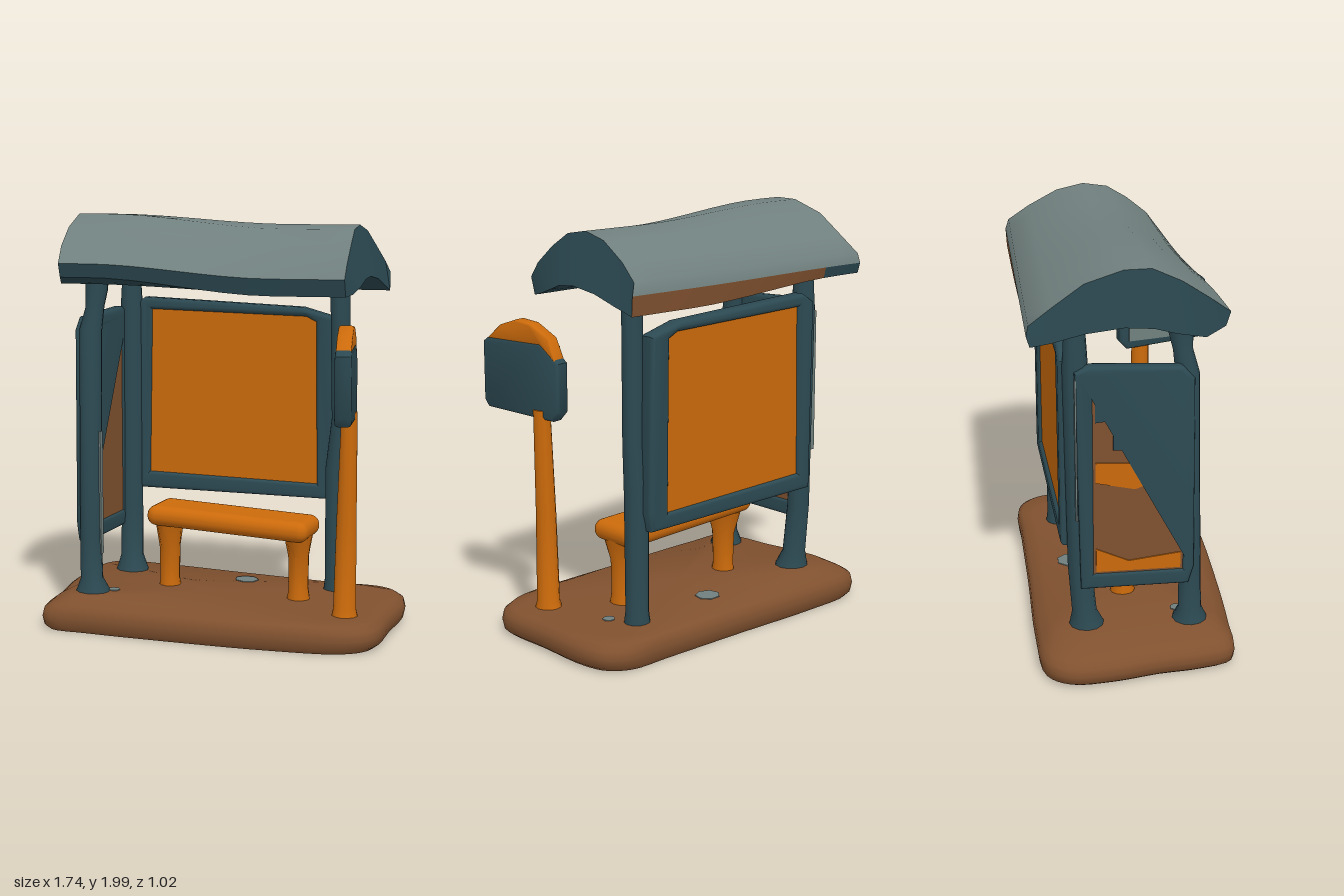
import * as THREE from 'three';
import { toCreasedNormals } from 'three/addons/utils/BufferGeometryUtils.js';
import { RoundedBoxGeometry } from 'three/addons/geometries/RoundedBoxGeometry.js';

const mat = (name, color) => new THREE.MeshStandardMaterial({ name, color });
const V = (x, y, z) => new THREE.Vector3(x, y, z);
const lerp = THREE.MathUtils.lerp;

// Surface through rows of points; faces point along (next row) x (next column)
function sheet(rows, crease = 0.8) {
  const pos = [];
  const tri = (a, b, c) => {
    const area = V(0, 0, 0).crossVectors(b.clone().sub(a), c.clone().sub(a)).length();
    if (area > 1e-8) for (const p of [a, b, c]) pos.push(p.x, p.y, p.z);
  };
  for (let i = 0; i < rows.length - 1; i++) {
    for (let j = 0; j < rows[i].length - 1; j++) {
      const a = rows[i][j], b = rows[i + 1][j], c = rows[i + 1][j + 1], d = rows[i][j + 1];
      tri(a, b, c);
      tri(a, c, d);
    }
  }
  const g = new THREE.BufferGeometry();
  g.setAttribute('position', new THREE.Float32BufferAttribute(pos, 3));
  return toCreasedNormals(g, crease);
}

// Upright limb through elliptical stations [x, y, z, rx, rz]
function limb(stations, sides = 12) {
  const first = stations[0], last = stations[stations.length - 1];
  const all = [[...first.slice(0, 3), 0, 0], ...stations, [...last.slice(0, 3), 0, 0]];
  return sheet(all.map(([x, y, z, rx, rz = rx]) => Array.from({ length: sides + 1 }, (_, k) => {
    const a = (k % sides) / sides * Math.PI * 2;
    return V(x + Math.cos(a) * rx, y, z + Math.sin(a) * rz);
  })));
}

// Flat polygon given as [u, y] corners, extruded with an optional hole
function slab(corners, depth, hole, bevel = 0) {
  const toVec = (list) => list.map(([u, y]) => new THREE.Vector2(u, y));
  const shape = new THREE.Shape(toVec(corners));
  if (hole) shape.holes.push(new THREE.Path(toVec(hole)));
  const g = new THREE.ExtrudeGeometry(shape, {
    depth: depth - 2 * bevel, bevelEnabled: bevel > 0, bevelThickness: bevel,
    bevelSize: bevel, bevelOffset: -bevel, bevelSegments: 3,
  });
  g.translate(0, 0, bevel - depth / 2);
  return toCreasedNormals(g, 0.8);
}

const rect = (u0, y0, u1, y1) => [[u0, y0], [u1, y0], [u1, y1], [u0, y1]];

export function createModel() {
  const teal = mat('dark teal', 0x2c4952);
  const grey = mat('roof grey', 0x70807e);
  const orange = mat('orange', 0xcb6a0b);
  const brown = mat('brown', 0x80512f);
  const dark = mat('dark underside', 0x5f504a);

  const model = new THREE.Group();
  model.name = 'shelter';
  const add = (name, geometry, material, parent = model) => {
    const m = new THREE.Mesh(geometry, material);
    m.name = name;
    parent.add(m);
    return m;
  };
  const group = (name) => {
    const g = new THREE.Group();
    g.name = name;
    model.add(g);
    return g;
  };

  // Ground slab: uneven outline, bevelled edge, top falling slightly to +x
  const outline = new THREE.CatmullRomCurve3([
    [0.86, 0], [0.85, 0.3], [0.74, 0.4], [0.4, 0.45], [-0.1, 0.46], [-0.55, 0.45], [-0.75, 0.43],
    [-0.8, 0.28], [-0.82, 0.08], [-0.86, -0.15], [-0.86, -0.35], [-0.78, -0.45], [-0.5, -0.48],
    [0, -0.48], [0.5, -0.485], [0.72, -0.485], [0.82, -0.42], [0.86, -0.3],
  ].map(([x, z]) => V(x, 0, z)), true).getPoints(72);
  const topAt = (x) => 0.16 - 0.03 * x;
  const ring = (s, y) => outline.map((p) => V(p.x * s, y ?? topAt(p.x * s), p.z * s));
  add('groundSlab', sheet([ring(0.96, 0.01), ring(0.99, 0.03), ring(1, 0.07), ring(0.99, 0.108),
    ring(0.95, 0.132), ring(0.84), ring(0)], 1), brown);
  add('slabUnderside', sheet([ring(0, 0.01), ring(0.96, 0.01)]), dark);
  // Pale scuffs on the slab
  for (const [x, z, r] of [[0.05, -0.27, 0.06], [0.585, -0.17, 0.03], [-0.48, 0.2, 0.03]]) {
    const scuff = add('scuff', new THREE.CylinderGeometry(r, r, 0.008, 7), grey);
    scuff.position.set(x, topAt(x), z);
    scuff.rotation.z = -0.03;
  }

  // Posts with flared feet
  add('frontLeftPost', limb([[-0.57, 0.13, 0.25, 0.095], [-0.57, 0.185, 0.25, 0.08], [-0.575, 0.24, 0.25, 0.055],
    [-0.58, 0.45, 0.245, 0.052], [-0.58, 1.45, 0.22, 0.055], [-0.565, 1.56, 0.2, 0.045],
    [-0.56, 1.64, 0.19, 0.055], [-0.56, 1.74, 0.18, 0.055]]), teal);
  add('paleStrip', new THREE.BoxGeometry(0.008, 0.6, 0.03), grey).position.set(-0.527, 0.66, 0.238);
  add('backLeftPost', limb([[-0.56, 0.13, -0.24, 0.095], [-0.56, 0.185, -0.24, 0.08], [-0.565, 0.25, -0.25, 0.058],
    [-0.57, 0.5, -0.27, 0.055], [-0.57, 1.5, -0.28, 0.058], [-0.57, 1.72, -0.28, 0.045]]), teal);
  add('backRightPost', limb([[0.51, 0.11, -0.285, 0.066], [0.51, 0.2, -0.285, 0.055],
    [0.51, 0.75, -0.285, 0.058], [0.53, 1, -0.285, 0.048], [0.52, 1.72, -0.275, 0.05]]), teal);

  // Back wall: slightly turned frame around an orange board
  const back = group('backWall');
  back.position.z = -0.328;
  back.rotation.y = 0.03;
  const backHole = [[-0.475, 0.685], [0.4, 0.665], [0.39, 1.47], [0.34, 1.495], [-0.46, 1.515]];
  add('backFrame', slab([[-0.56, 0.6], [0.5, 0.59], [0.52, 0.68], [0.5, 1.49], [0.32, 1.54], [-0.5, 1.575],
    [-0.57, 1.53]], 0.09, backHole, 0.02), teal, back);
  add('backBoard', slab([[-0.5, 0.655], [0.42, 0.64], [0.41, 1.48], [0.34, 1.51], [-0.48, 1.535]], 0.055), orange, back);

  // Side wall on -x: u runs toward the front, depth toward -x
  const side = group('sideWall');
  side.position.x = -0.622;
  side.rotation.y = -Math.PI / 2;
  add('sideFrame', slab([[-0.27, 0.41], [0.23, 0.41], [0.255, 0.5], [0.245, 1.45], [0.19, 1.51], [-0.22, 1.53],
    [-0.29, 1.5]], 0.065, rect(-0.21, 0.49, 0.2, 1.44), 0.018), teal, side);
  add('sideBoard', slab(rect(-0.22, 0.48, 0.21, 1.45), 0.045), brown, side);
  // Worn paint on the side board
  const patches = [
    ['paleBand', grey, rect(-0.19, 1.37, 0.18, 1.43)],
    ['tealBand', teal, [[-0.2, 1.26], [0.19, 1.3], [0.19, 1.37], [-0.2, 1.37]]],
    ['tealPatch', teal, [[-0.12, 1.12], [0.12, 1.12], [0.17, 1.22], [-0.12, 1.19]]],
    ['orangePatch', orange, [[-0.2, 0.96], [-0.02, 0.92], [0.19, 1.0], [0.19, 1.08], [0, 1.05], [-0.2, 1.06]]],
    ['lowerOrangePatch', orange, [[-0.2, 0.5], [0.19, 0.5], [0.19, 0.58], [-0.05, 0.55], [-0.2, 0.62]]],
    ['innerOrangePatch', orange, [[0.06, 0.5], [0.19, 0.5], [0.19, 0.58]], -0.024],
  ];
  for (const [name, m, shape, z = 0.024] of patches) add(name, slab(shape, 0.008), m, side).position.z = z;
  add('paleEdge', new THREE.BoxGeometry(0.008, 0.7, 0.034), grey, side).position.set(-0.287, 1.12, 0.014);

  // Bench: soft seat on two legs that widen upward
  const bench = group('bench');
  const seat = add('seat', new RoundedBoxGeometry(0.82, 0.1, 0.28, 4, 0.048), orange, bench);
  seat.position.set(0.055, 0.512, -0.035);
  seat.rotation.z = -0.05;
  for (const [name, x, top] of [['leftLeg', 0.39, 0.49], ['rightLeg', -0.275, 0.52]]) {
    add(name, limb([[x, 0.12, -0.035, 0.06, 0.068], [x, 0.2, -0.035, 0.048, 0.055],
      [x, 0.36, -0.035, 0.05, 0.062], [x, top - 0.06, -0.035, 0.06, 0.1],
      [x, top, -0.035, 0.07, 0.12]]), orange, bench);
  }

  // Stop sign post with a turned plate
  add('signPole', limb([[0.675, 0.11, 0.17, 0.068, 0.078], [0.675, 0.17, 0.17, 0.055],
    [0.68, 0.6, 0.17, 0.048], [0.69, 1.1, 0.175, 0.038, 0.045]]), orange);
  const sign = group('sign');
  sign.position.set(0.7, 0, 0.28);
  sign.rotation.y = -1.38;
  add('signPlate', slab([[-0.23, 1.1], [-0.19, 1.055], [0.21, 1.075], [0.235, 1.11], [0.235, 1.39],
    [0.2, 1.415], [-0.12, 1.415], [-0.23, 1.33]], 0.075, null, 0.015), teal, sign);
  add('signCap', slab([[-0.215, 1.33], [-0.12, 1.4], [0.21, 1.405], [0.13, 1.475], [0.03, 1.51],
    [-0.06, 1.5], [-0.17, 1.44]], 0.07, null, 0.012), orange, sign);
  add('signUpperPanel', slab(rect(-0.18, 1.25, 0.18, 1.4), 0.008), brown, sign).position.z = 0.036;
  add('signLowerPanel', slab(rect(-0.18, 1.1, 0.18, 1.25), 0.008), grey, sign).position.z = 0.036;

  // Roof: [z, y] cross-sections blended between the two ends, running from front to back
  const topL = [[0.39, 1.77], [0.29, 1.85], [0.17, 1.935], [0.04, 1.997], [-0.08, 1.995], [-0.25, 1.94], [-0.39, 1.84], [-0.49, 1.765], [-0.5, 1.72]];
  const topR = [[0.25, 1.71], [0.2, 1.78], [0.1, 1.865], [0, 1.93], [-0.12, 1.95], [-0.25, 1.92], [-0.39, 1.84], [-0.49, 1.765], [-0.505, 1.71]];
  const lowL = [[0.37, 1.705], [0.28, 1.67], [0.15, 1.7], [0.05, 1.73], [-0.08, 1.74], [-0.25, 1.72], [-0.39, 1.685], [-0.45, 1.675], [-0.485, 1.67]];
  const lowR = [[0.225, 1.63], [0.17, 1.64], [0.08, 1.67], [0, 1.7], [-0.1, 1.71], [-0.25, 1.69], [-0.39, 1.65], [-0.45, 1.635], [-0.5, 1.62]];
  // Inward shift of each end: rounded front corners, gable leaning in at the ridge
  const corner = [0.06, 0.025, 0.005];
  const line = (l, r, t, bow) => l.map(([z, y], i) => {
    const s = THREE.MathUtils.smoothstep(t, 0.1, 0.75);
    const lean = bow * Math.sin(Math.PI * i / 8), inset = corner[i] ?? 0;
    return V(lerp(-0.73 + 0.02 * lean + inset, 0.715 - 0.06 * lean - 0.6 * inset, t),
      lerp(y, r[i][1], s), lerp(z, r[i][0], t));
  });
  const steps = Array.from({ length: 13 }, (_, i) => i / 12);
  const tops = steps.map((t) => line(topL, topR, t, 1));
  const lows = steps.map((t) => line(lowL, lowR, t, 0));
  const roof = group('roof');
  add('roofTop', sheet(tops, 1), grey, roof);
  add('roofUnderside', sheet(lows.map((r) => [...r].reverse())), teal, roof);
  add('frontFascia', sheet(lows.map((r, i) => [r[0], tops[i][0]])), teal, roof);
  const rim = lows.map((r, i) => [tops[i][8], r[8]]);
  add('backFasciaEnd', sheet(rim.slice(0, 3)), teal, roof);
  add('backFascia', sheet(rim.slice(2)), brown, roof);
  add('rightGable', sheet([lows[0], tops[0]]), teal, roof);
  add('leftGable', sheet([tops[12], lows[12]]), teal, roof);

  return model;
}
